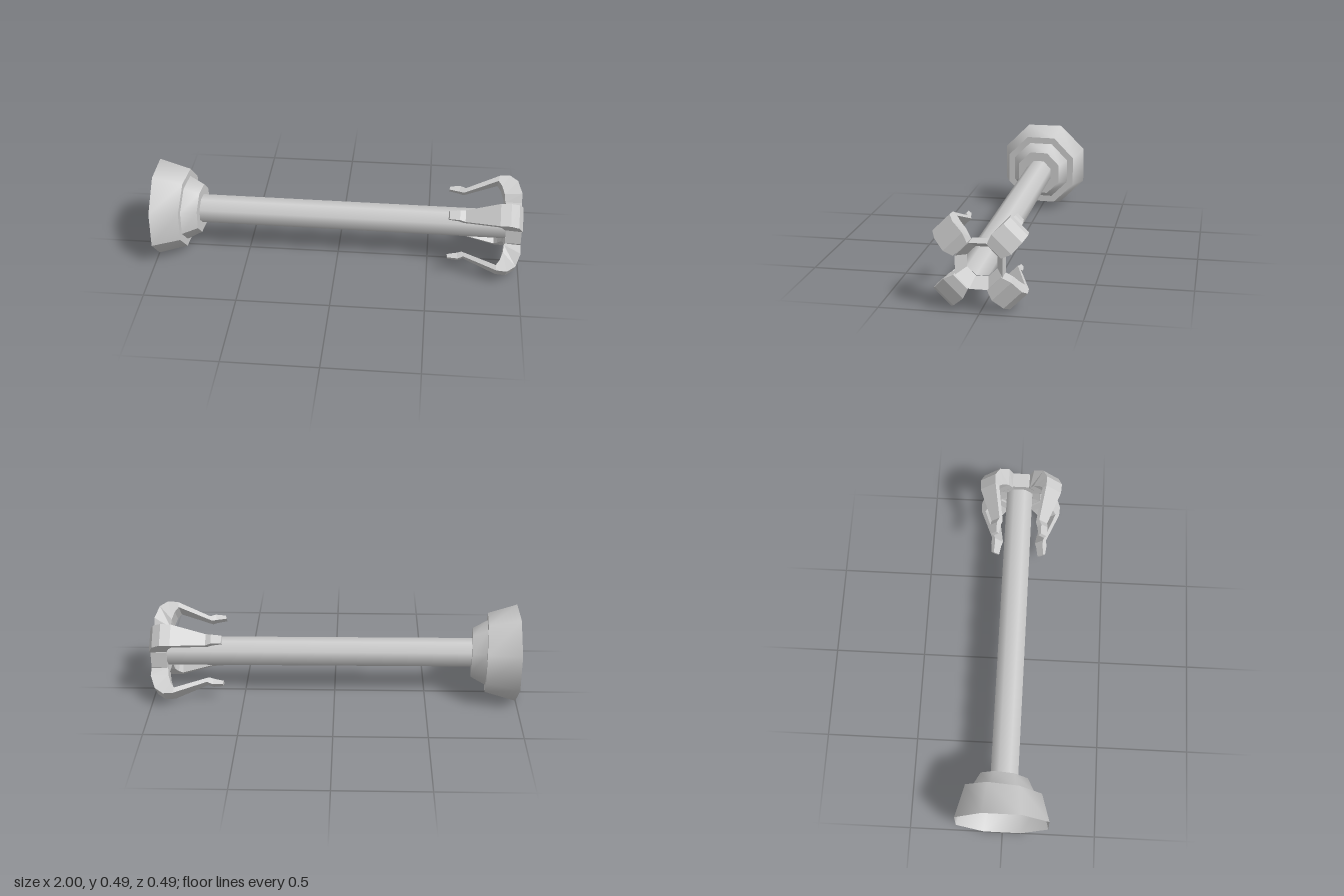
import * as THREE from 'three';

const SIDES = 8;
const toCorner = 1 / Math.cos(Math.PI / SIDES);

const smooth = new THREE.MeshStandardMaterial({ color: 0xcccccc, side: THREE.DoubleSide });
const flat = new THREE.MeshStandardMaterial({ color: 0xcccccc, side: THREE.DoubleSide, flatShading: true });

// Octagonal band along x between two [x, flat-to-centre radius] points
function band(a, b) {
  const pts = [a, b].map(([x, r]) => new THREE.Vector2(r * toCorner, x));
  return new THREE.LatheGeometry(pts, SIDES, Math.PI / SIDES).rotateZ(-Math.PI / 2);
}

function addBands(parent, name, profile, material, warp) {
  const group = new THREE.Group();
  group.name = name;
  for (let i = 0; i < profile.length - 1; i++) {
    const geo = band(profile[i], profile[i + 1]);
    if (warp) warp(geo);
    const mesh = new THREE.Mesh(geo, material);
    mesh.name = name + 'Band';
    group.add(mesh);
  }
  parent.add(group);
  return group;
}

// The base sections lean slightly, while the open rim stays square
function leanBase(geo) {
  const p = geo.attributes.position;
  for (let i = 0; i < p.count; i++) {
    const w = Math.min(1, (p.getX(i) + 1) / 0.17);
    p.setX(i, p.getX(i) - 0.075 * w * p.getZ(i));
  }
  geo.computeVertexNormals();
}

// Claw lofted through four-cornered sections: [outer x, outer r, inner x, inner r, outer half width, inner half width]
function clawGeometry() {
  const sections = [
    [0.61, 0.198, 0.605, 0.18, 0.022, 0.022],
    [0.665, 0.202, 0.66, 0.17, 0.026, 0.026],
    [0.695, 0.19, 0.685, 0.164, 0.032, 0.032],
    [0.875, 0.262, 0.87, 0.232, 0.06, 0.06],
    [0.93, 0.266, 0.89, 0.205, 0.061, 0.06],
    [0.975, 0.236, 0.905, 0.16, 0.063, 0.06],
    [1.0, 0.166, 0.91, 0.118, 0.067, 0.048],
    [1.0, 0.115, 0.915, 0.11, 0.048, 0.046],
  ];
  const rings = sections.map(([xo, ro, xi, ri, wo, wi]) => [
    [xo, ro, wo], [xo, ro, -wo], [xi, ri, -wi], [xi, ri, wi],
  ]);
  const pos = [];
  const quad = (a, b, c, d) => pos.push(...a, ...b, ...c, ...a, ...c, ...d);
  for (let i = 0; i < rings.length - 1; i++) {
    for (let k = 0; k < 4; k++) {
      const n = (k + 1) % 4;
      quad(rings[i][k], rings[i + 1][k], rings[i + 1][n], rings[i][n]);
    }
  }
  const last = rings[rings.length - 1];
  quad(...rings[0]);
  quad(last[3], last[2], last[1], last[0]);
  const geo = new THREE.BufferGeometry();
  geo.setAttribute('position', new THREE.Float32BufferAttribute(pos, 3));
  geo.computeVertexNormals();
  return geo;
}

export function createModel() {
  const model = new THREE.Group();
  model.name = 'clawedRod';

  // Hollow stepped base, open at the wide end
  const base = addBands(model, 'flaredBase',
    [[-1, 0.246], [-0.835, 0.202], [-0.835, 0.165], [-0.755, 0.125], [-0.755, 0.073]],
    smooth, leanBase);
  base.position.y = 0.248;

  // Hollow shaft
  const shaft = addBands(model, 'shaft', [[-0.77, 0.073], [0.92, 0.073]], smooth);
  shaft.position.y = 0.246;
  shaft.rotation.z = -0.0035;

  // Collar ring with a funnelled mouth
  const collar = addBands(model, 'collarRing',
    [[0.92, 0.074], [0.915, 0.115], [1, 0.115], [0.92, 0.074]], flat);
  collar.position.y = 0.242;

  // Four claws swept back along the shaft
  const geo = clawGeometry();
  for (let i = 0; i < 4; i++) {
    const claw = new THREE.Mesh(geo, flat);
    claw.name = 'claw';
    claw.rotation.x = Math.PI / 4 + i * Math.PI / 2;
    claw.position.set(0, 0.24, 0.008);
    model.add(claw);
  }
  return model;
}
